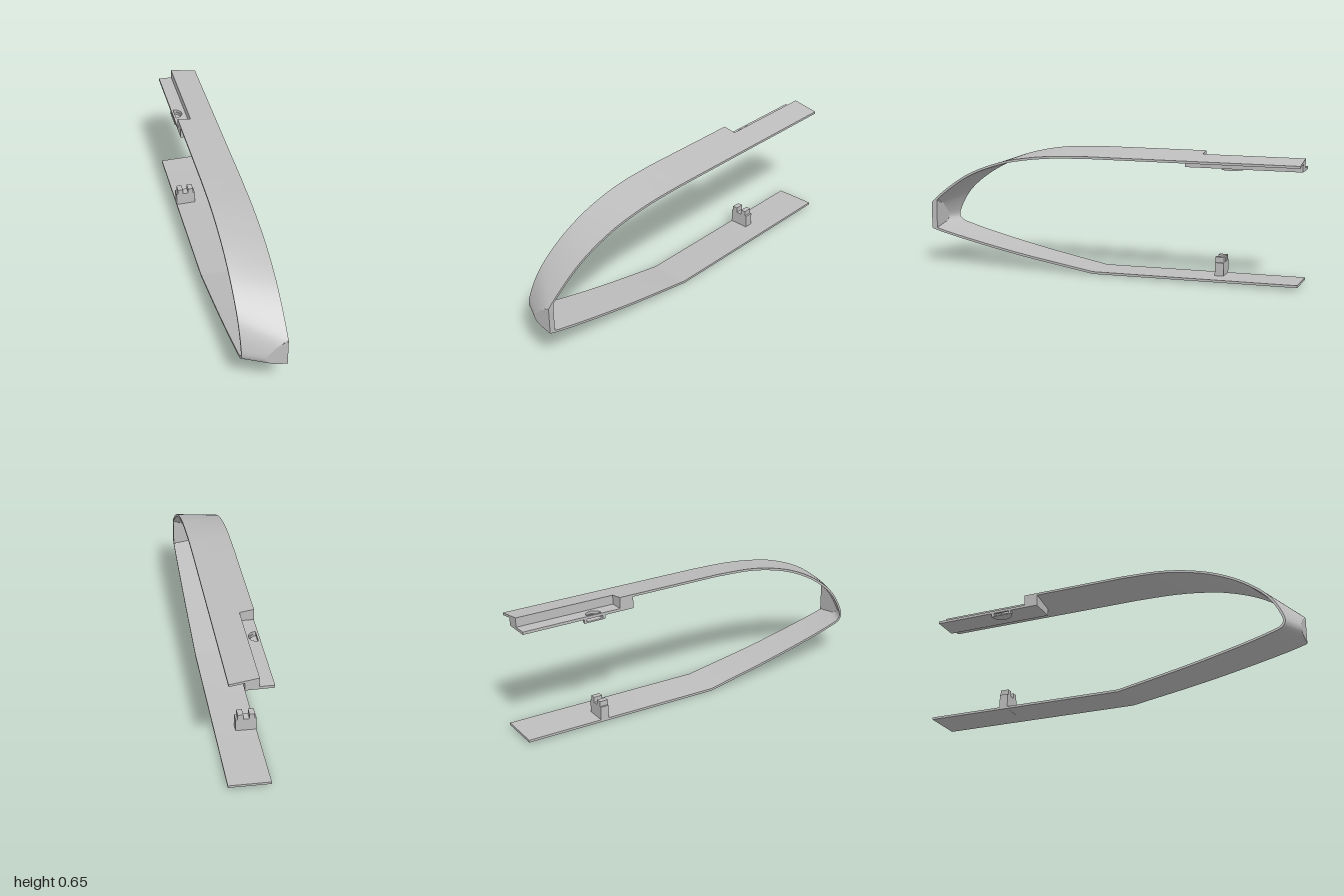
import * as THREE from 'three';
import { toCreasedNormals } from 'three/addons/utils/BufferGeometryUtils.js';

const HALF = 0.105, THICK = 0.012;
const metal = new THREE.MeshStandardMaterial({ color: 0xbdbdbd });
metal.name = 'plain grey';

// Edge profiles of the bent band as [z, y], from upper arm round the nose to the lower arm
const farEdge = [[0.1, 0.652], [0.3, 0.641], [0.45, 0.615], [0.6, 0.568], [0.75, 0.49], [0.87, 0.39],
  [0.932, 0.29], [0.947, 0.235], [0.93, 0.205], [0.85, 0.175], [0.5, 0.088], [0.07, 0.002]];
const nearEdge = [[0.1, 0.62], [0.3, 0.613], [0.45, 0.597], [0.6, 0.567], [0.8, 0.487], [1.0, 0.335],
  [1.042, 0.275], [1.055, 0.24], [1.045, 0.215], [1.0, 0.192], [0.55, 0.088], [0.07, 0.006]];

function bendPoints(edge, n) {
  const curve = new THREE.CatmullRomCurve3(edge.map(([z, y]) => new THREE.Vector3(0, y, z)));
  return curve.getPoints(n);
}
const at = (z, y) => new THREE.Vector3(0, y, z);

// Sweep a thin band between two edge paths; u = 0 is x -HALF and u = 1 is x +HALF
function band(pathA, pathB, x0, x1, nx) {
  const outer = [], inner = [];
  for (let j = 0; j <= nx; j++) {
    const x = x0 + (x1 - x0) * j / nx, u = (x + HALF) / (2 * HALF);
    const line = pathA.map((p, i) => p.clone().lerp(pathB[i], u));
    outer.push(line.map(p => new THREE.Vector3(x, p.y, Math.min(p.z, 1))));
    inner.push(line.map((p, i) => {
      const d = line[Math.min(i + 1, line.length - 1)].clone().sub(line[Math.max(i - 1, 0)]).normalize();
      return new THREE.Vector3(x, p.y - d.z * THICK, Math.min(p.z + d.y * THICK, 0.97));
    }));
  }
  const pos = [];
  const quad = (a, b, c, d) => [a, b, c, a, c, d].forEach(p => pos.push(p.x, p.y, p.z));
  const last = pathA.length - 1;
  for (let i = 0; i < last; i++) {
    for (let j = 0; j < nx; j++) {
      quad(outer[j][i], outer[j][i + 1], outer[j + 1][i + 1], outer[j + 1][i]);
      quad(inner[j][i], inner[j + 1][i], inner[j + 1][i + 1], inner[j][i + 1]);
    }
    quad(outer[0][i], inner[0][i], inner[0][i + 1], outer[0][i + 1]);
    quad(outer[nx][i], outer[nx][i + 1], inner[nx][i + 1], inner[nx][i]);
  }
  for (let j = 0; j < nx; j++) {
    quad(outer[j][0], outer[j + 1][0], inner[j + 1][0], inner[j][0]);
    quad(outer[j][last], inner[j][last], inner[j + 1][last], outer[j + 1][last]);
  }
  const geo = new THREE.BufferGeometry();
  geo.setAttribute('position', new THREE.Float32BufferAttribute(pos, 3));
  return toCreasedNormals(geo, 0.3);
}

const polygon = pts => new THREE.Shape(pts.map(([x, y]) => new THREE.Vector2(x, y)));

// Cross-section in x, y run from z0 to z1
function alongZ(pts, z0, z1) {
  return new THREE.ExtrudeGeometry(polygon(pts), { depth: z1 - z0, bevelEnabled: false }).translate(0, 0, z0);
}
// Plan outline in x, -z raised from y0 to y1
function raised(shape, y0, y1) {
  return new THREE.ExtrudeGeometry(shape, { depth: y1 - y0, bevelEnabled: false, curveSegments: 24 })
    .rotateX(-Math.PI / 2).translate(0, y0, 0);
}
function box(x0, x1, y0, y1, z0, z1) {
  return new THREE.BoxGeometry(x1 - x0, y1 - y0, z1 - z0)
    .translate((x0 + x1) / 2, (y0 + y1) / 2, (z0 + z1) / 2);
}

export function createModel() {
  const model = new THREE.Group();
  model.name = 'sprungClip';
  const add = (name, geo, parent = model) => {
    const mesh = new THREE.Mesh(geo, metal);
    mesh.name = name;
    parent.add(mesh);
  };

  // Bent band with flattened nose, straight lower arm and notched upper arm
  add('bentBand', band(
    [at(-0.475, 0.652), ...bendPoints(farEdge, 150), at(-1, 0.012)],
    [at(-0.475, 0.62), ...bendPoints(nearEdge, 150), at(-1, 0.016)], -HALF, HALF, 40));
  add('upperArmEnd', band([at(-1, 0.652), at(-0.475, 0.652)], [at(-1, 0.62), at(-0.475, 0.62)],
    -0.035, HALF, 1));

  // Stepped rail under the upper arm
  const rail = new THREE.Group();
  rail.name = 'rail';
  model.add(rail);
  add('railWeb', alongZ([[-0.035, 0.58], [0.032, 0.58], [0.032, 0.625], [-0.035, 0.635]], -1, -0.475), rail);
  add('railBlock', alongZ([[-HALF, 0.58], [0.032, 0.58], [0.032, 0.625], [-HALF, 0.645]], -0.475, -0.4), rail);

  // Ledge with a D-shaped hole
  const cx = -0.094, cy = 0.615;
  const ledge = polygon([[-HALF, 0.475], [-0.035, 0.475], [-0.035, 1], [-HALF, 1]]);
  const hole = new THREE.Path();
  hole.absarc(cx, cy, 0.04, -Math.PI / 2, Math.PI / 2, false);
  hole.closePath();
  ledge.holes.push(hole);
  add('railLedge', raised(ledge, 0.58, 0.594), rail);

  // Half-round socket below the hole, open at the side
  const halfDisc = new THREE.Shape();
  halfDisc.absarc(-HALF, cy, 0.058, -Math.PI / 2, Math.PI / 2, false);
  halfDisc.closePath();
  add('socketFloor', raised(halfDisc, 0.56, 0.567), rail);
  const halfRing = new THREE.Shape();
  halfRing.absarc(-HALF, cy, 0.058, -Math.PI / 2, Math.PI / 2, false);
  halfRing.absarc(-HALF, cy, 0.044, Math.PI / 2, -Math.PI / 2, true);
  halfRing.closePath();
  add('socketWall', raised(halfRing, 0.567, 0.581), rail);

  // Forked post on the lower arm
  const post = new THREE.Group();
  post.name = 'forkedPost';
  model.add(post);
  add('postBase', box(-HALF, 0, 0.008, 0.09, -0.6, -0.555), post);
  for (const x of [-0.097, -0.038]) add('postProng', box(x, x + 0.028, 0.088, 0.118, -0.6, -0.555), post);

  return model;
}
